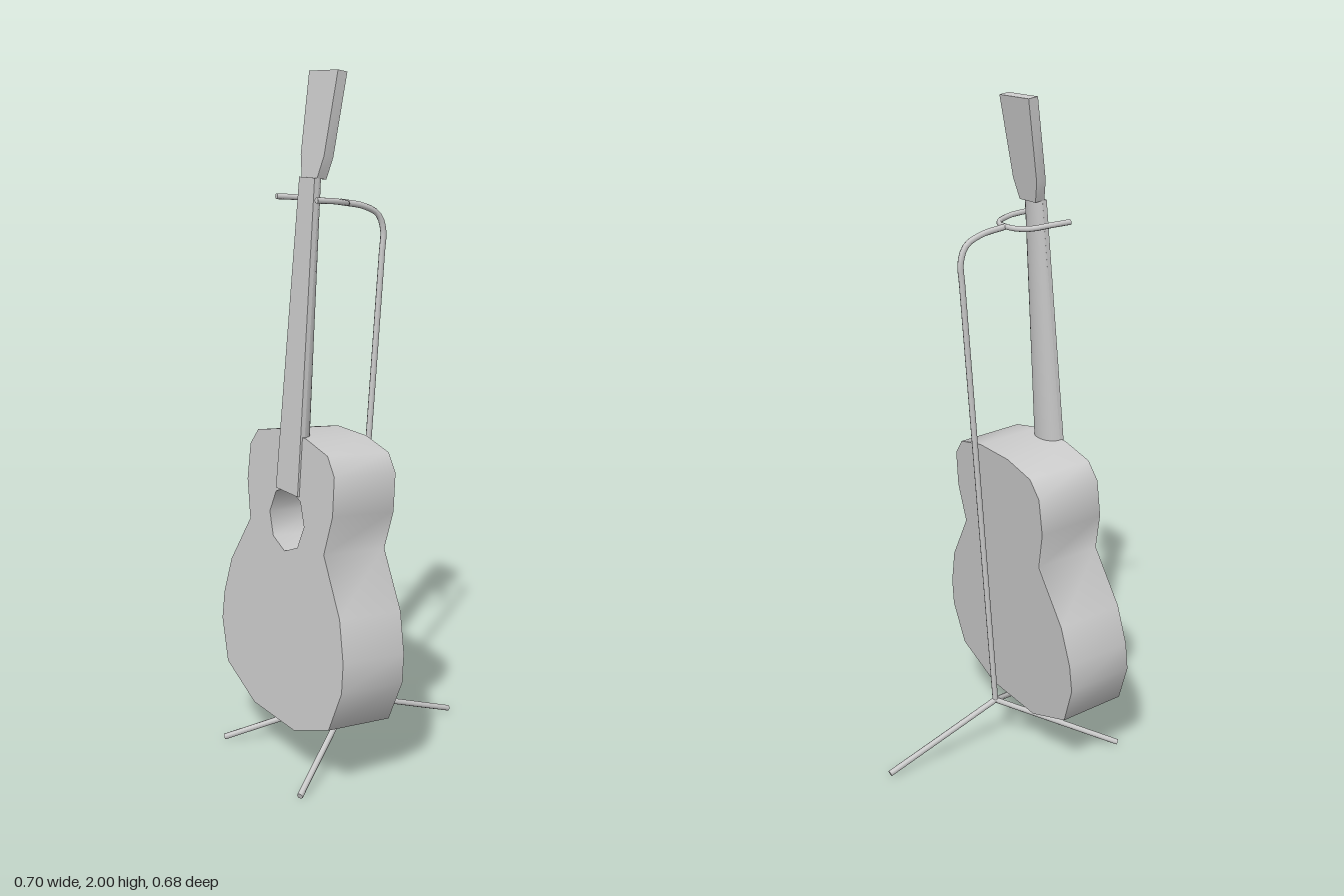
import * as THREE from 'three';
import { toCreasedNormals } from 'three/addons/utils/BufferGeometryUtils.js';

const grey = new THREE.MeshStandardMaterial({ color: 0xcccccc });
const V = (x, y, z) => new THREE.Vector3(x, y, z);

function add(parent, name, geometry) {
  const mesh = new THREE.Mesh(geometry, grey);
  mesh.name = name;
  parent.add(mesh);
  return mesh;
}

// Closed shape mirrored about x = 0 from its right half, listed bottom to top
function mirroredShape(half) {
  const right = half.map(([x, y]) => new THREE.Vector2(x, y));
  const left = half.map(([x, y]) => new THREE.Vector2(-x, y)).reverse();
  return new THREE.Shape([...right, ...left]);
}

function slab(shape, z0, z1) {
  const g = new THREE.ExtrudeGeometry(shape, { depth: z1 - z0, bevelEnabled: false });
  g.translate(0, 0, z0);
  return toCreasedNormals(g, 1.0);
}

// Straight round bar between two points
function bar(parent, name, a, b, r) {
  const dir = b.clone().sub(a);
  const mesh = add(parent, name, new THREE.CylinderGeometry(r, r, dir.length(), 8));
  mesh.position.copy(a).add(b).multiplyScalar(0.5);
  mesh.quaternion.setFromUnitVectors(V(0, 1, 0), dir.normalize());
}

// Bent round bar with closed ends
function bentBar(parent, name, points, r, segments) {
  const curve = new THREE.CatmullRomCurve3(points);
  add(parent, name, new THREE.TubeGeometry(curve, segments, r, 8));
  for (const t of [0, 1]) {
    const cap = add(parent, name + 'End', new THREE.CircleGeometry(r, 8));
    cap.position.copy(curve.getPointAt(t));
    const out = curve.getTangentAt(t).multiplyScalar(t ? 1 : -1);
    cap.quaternion.setFromUnitVectors(V(0, 0, 1), out);
  }
}

function createGuitar() {
  // Local frame: y along the strings, z from soundboard to back
  const guitar = new THREE.Group();
  guitar.name = 'guitar';

  // Waisted body with an open sound hole
  const outline = [
    [0.115, 0], [0.29, 0.07], [0.34, 0.195], [0.337, 0.28], [0.305, 0.395],
    [0.205, 0.55], [0.235, 0.665], [0.23, 0.775], [0.19, 0.825], [0.075, 0.85],
  ];
  const holed = mirroredShape(outline);
  const hole = [];
  for (let i = 0; i < 8; i++) {
    const a = -i * Math.PI / 4;
    hole.push(new THREE.Vector2(0.095 * Math.cos(a), 0.6 + 0.095 * Math.sin(a)));
  }
  holed.holes.push(new THREE.Path(hole));
  add(guitar, 'body', slab(holed, 0, 0.2));
  add(guitar, 'backPanel', slab(mirroredShape(outline), 0.2, 0.204));

  // Fingerboard, tapering to the nut
  const nut = 1.566;
  add(guitar, 'fingerboard', slab(mirroredShape([[0.06, 0.68], [0.04, nut]]), -0.006, 0.008));

  // Neck with a rounded back, thinner and narrower toward the nut
  const y0 = 0.84, len = nut - y0;
  const neck = new THREE.CylinderGeometry(1, 1, len, 10, 1, false, -Math.PI / 2, Math.PI);
  const p = neck.attributes.position;
  for (let i = 0; i < p.count; i++) {
    const t = p.getY(i) / len + 0.5;
    p.setXYZ(i,
      p.getX(i) * THREE.MathUtils.lerp(0.057, 0.04, t),
      y0 + t * len,
      0.007 + p.getZ(i) * THREE.MathUtils.lerp(0.039, 0.021, t));
  }
  neck.computeVertexNormals();
  add(guitar, 'neck', neck);

  // Headstock, angled back from the neck
  const head = add(guitar, 'headstock',
    slab(mirroredShape([[0.04, 0], [0.06, 0.06], [0.073, 0.289]]), 0, 0.03));
  head.position.set(0, nut, 0.002);
  head.rotation.x = THREE.MathUtils.degToRad(4.5);

  // Soundboard faces -x, whole instrument leans back
  guitar.rotation.set(0, Math.PI / 2, THREE.MathUtils.degToRad(-5), 'ZYX');
  guitar.position.set(-0.3, 0.155, 0);
  return guitar;
}

function createStand() {
  const stand = new THREE.Group();
  stand.name = 'stand';
  const r = 0.009;
  const hub = V(-0.03, 0.15, 0);

  // Tripod legs
  for (const [x, z] of [[0.348, 0], [-0.347, 0.222], [-0.347, -0.222]]) {
    bar(stand, 'leg', hub, V(x, 0.01, z), r);
  }

  // Upright and its bend toward the neck
  const bendStart = V(0.082, 1.5, 0);
  bar(stand, 'upright', hub, bendStart, r);
  bentBar(stand, 'uprightBend', [
    bendStart, V(0.086, 1.56, 0), V(0.068, 1.605, 0), V(0.02, 1.63, 0), V(-0.06, 1.645, 0),
  ], r, 14);

  // Yoke cradling the neck
  const side = [[-0.205, 1.66, 0.105], [-0.14, 1.655, 0.097], [-0.095, 1.648, 0.08], [-0.068, 1.645, 0.045]];
  bentBar(stand, 'yoke', [
    ...side.map(([x, y, z]) => V(x, y, z)),
    V(-0.06, 1.645, 0),
    ...side.reverse().map(([x, y, z]) => V(x, y, -z)),
  ], r * 0.9, 20);

  return stand;
}

export function createModel() {
  const model = new THREE.Group();
  model.name = 'guitarOnStand';
  model.add(createGuitar(), createStand());
  return model;
}
